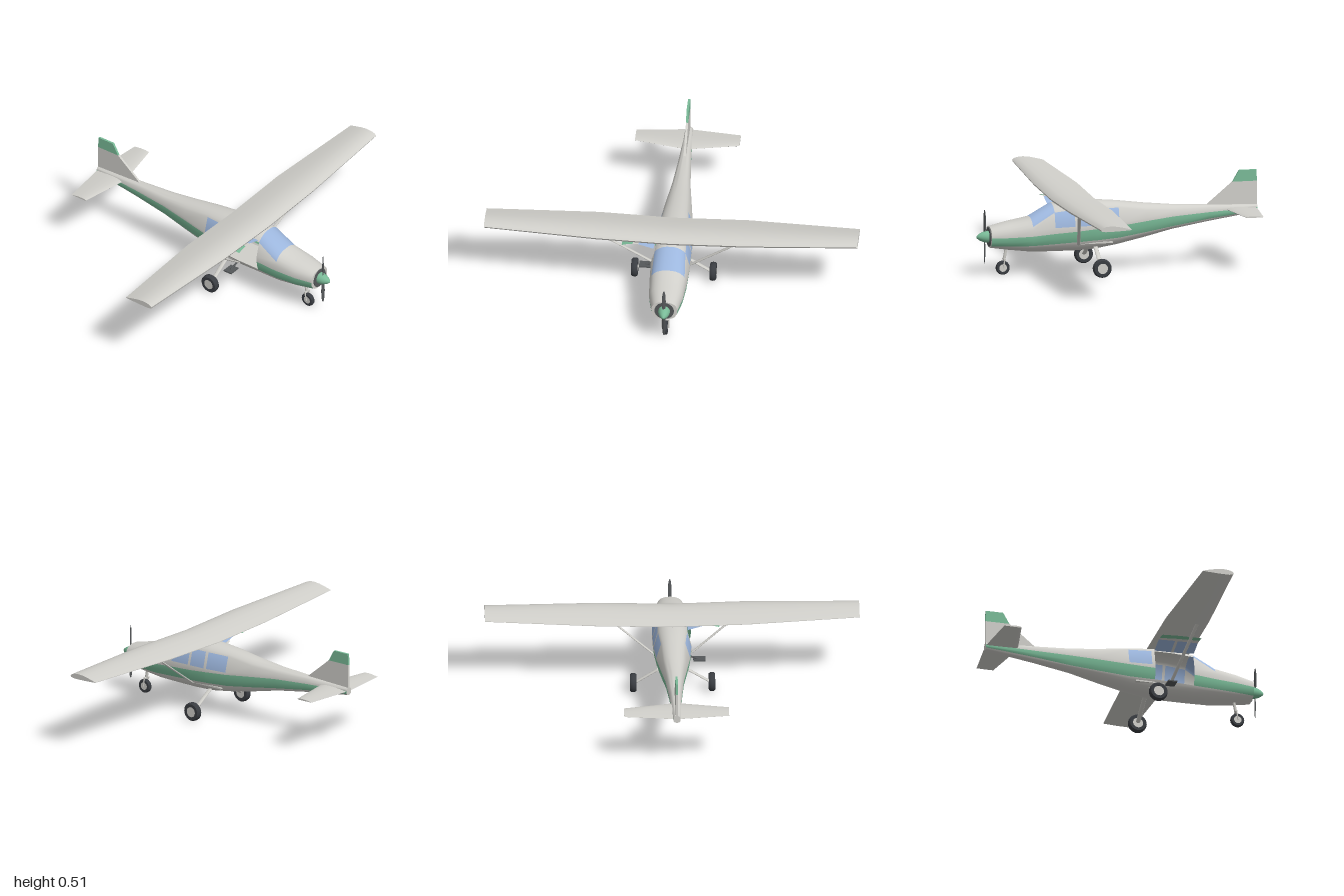
import * as THREE from 'three';
import { toCreasedNormals } from 'three/addons/utils/BufferGeometryUtils.js';

const mat = (name, color, side = THREE.FrontSide) => {
  const m = new THREE.MeshStandardMaterial({ color, side });
  m.name = name;
  return m;
};

// Skin over a row of closed rings; pick(i, j) gives the material index, or -1 for a hole
function loft(rings, pick = () => 0, caps = true, crease = 0.7) {
  const n = rings[0].length, pos = rings.flat(2), buckets = [[], [], []];
  for (let i = 0; i < rings.length - 1; i++) for (let j = 0; j < n; j++) {
    const k = pick(i, j);
    if (k < 0) continue;
    const a = i * n + j, b = i * n + (j + 1) % n, c = b + n, d = a + n;
    buckets[k].push(a, b, d, b, c, d);
  }
  if (caps) for (const i of [0, rings.length - 1]) {
    const mid = [0, 1, 2].map(k => rings[i].reduce((s, p) => s + p[k], 0) / n);
    const m = pos.length / 3;
    pos.push(...mid);
    for (let j = 0; j < n; j++) {
      const a = i * n + j, b = i * n + (j + 1) % n;
      buckets[0].push(m, ...(i ? [a, b] : [b, a]));
    }
  }
  const g = new THREE.BufferGeometry();
  g.setAttribute('position', new THREE.Float32BufferAttribute(pos, 3));
  g.setIndex(buckets.flat());
  let start = 0;
  buckets.forEach((b, k) => { if (b.length) g.addGroup(start, b.length, k); start += b.length; });
  return toCreasedNormals(g, crease);
}

// Fuselage stations: z, bottom, top, half width, stripe low, stripe high, sill, window top
const STATIONS = [
  [0.70, 0.152, 0.265, 0.070, 0.168, 0.212, 0.225, 0.240],
  [0.60, 0.137, 0.288, 0.090, 0.165, 0.214, 0.235, 0.250],
  [0.48, 0.122, 0.310, 0.100, 0.165, 0.218, 0.250, 0.268],
  [0.36, 0.118, 0.378, 0.105, 0.170, 0.228, 0.260, 0.340],
  [0.25, 0.117, 0.385, 0.105, 0.175, 0.234, 0.262, 0.350],
  [0.235, 0.117, 0.385, 0.105, 0.175, 0.235, 0.262, 0.350],
  [0.145, 0.120, 0.387, 0.102, 0.180, 0.242, 0.262, 0.350],
  [0.128, 0.121, 0.386, 0.101, 0.180, 0.243, 0.262, 0.350],
  [0.004, 0.140, 0.375, 0.090, 0.187, 0.252, 0.264, 0.348],
  [-0.15, 0.172, 0.355, 0.070, 0.207, 0.268, 0.285, 0.325],
  [-0.30, 0.207, 0.340, 0.050, 0.228, 0.282, 0.295, 0.315],
  [-0.50, 0.240, 0.330, 0.034, 0.257, 0.293, 0.305, 0.318],
  [-0.77, 0.279, 0.320, 0.020, 0.288, 0.305, 0.309, 0.314],
];

function bodyRing([z, b, t, w, lo, hi, sill, wt]) {
  const up = f => b + (lo - b) * f, over = f => wt + (t - wt) * f;
  const ys = [b, up(0.04), up(0.15), up(0.4), up(0.7), lo, (lo + hi) / 2, hi, sill, wt,
    over(0.35), over(0.65), over(0.87), over(0.97), t];
  const half = ys.map(y => {
    const s = Math.min(1, Math.abs((2 * y - b - t) / (t - b)));
    return [-w * Math.pow(1 - Math.pow(s, 2.4), 1 / 2.4), y, z];
  });
  return [...half, ...half.slice(1, -1).reverse().map(([x, y]) => [-x, y, z])];
}

const rowOf = j => (j < 14 ? j : 27 - j);
const inDoor = (i, j) => i >= 3 && i <= 5 && j >= 5 && j <= 8;
function skin(i, j) {
  const r = rowOf(j);
  if (r === 5 || r === 6) return 1;                            // stripe
  if (r === 8 && [3, 5, 7].includes(i)) return 2;              // side windows
  return r >= 9 && i === 2 ? 2 : 0;                            // windscreen
}

// Aerofoil from trailing edge over the top to the nose and back: chord fraction, height fraction
const FOIL = [[1, 0.25], [0.8, 0.55], [0.55, 0.88], [0.35, 1], [0.18, 0.93], [0.06, 0.72],
  [0, 0.42], [0.03, 0.12], [0.15, 0], [0.5, 0.03], [0.85, 0.12], [1, 0.17]];
const foilRing = ([x, front, back, y, h]) =>
  FOIL.map(([u, v]) => [x, y + v * h, front + (back - front) * u]);

export function createModel() {
  const group = new THREE.Group();
  group.name = 'lightAircraft';
  const body = mat('bodyGrey', 0xd0cfca), shell = mat('shellGrey', 0xd0cfca, THREE.DoubleSide);
  const green = mat('stripeGreen', 0x7abb98, THREE.DoubleSide);
  const glass = mat('windowBlue', 0x9db7de, THREE.DoubleSide);
  const dark = mat('darkGrey', 0x55585a), rubber = mat('tyreBlack', 0x3a3d42);

  const add = (name, geo, m, parent = group) => {
    const mesh = new THREE.Mesh(geo, m);
    mesh.name = name;
    parent.add(mesh);
    return mesh;
  };
  // Oval rod between two points, wide along its local x
  const rod = (name, a, b, r, m = body, flat = 1) => {
    const p = new THREE.Vector3(...a), q = new THREE.Vector3(...b), d = q.clone().sub(p);
    const mesh = add(name, new THREE.CylinderGeometry(r, r, d.length(), 10), m);
    const y = d.clone().normalize();
    const x = new THREE.Vector3().crossVectors(y, new THREE.Vector3(0, 0, 1)).normalize();
    const z = new THREE.Vector3().crossVectors(x, y);
    mesh.quaternion.setFromRotationMatrix(new THREE.Matrix4().makeBasis(x, y, z));
    mesh.scale.x = flat;
    mesh.position.copy(p.add(q).multiplyScalar(0.5));
  };

  // Fuselage with an open doorway on its right side
  const rings = STATIONS.map(bodyRing), skins = [shell, green, glass];
  add('fuselage', loft(rings, (i, j) => (inDoor(i, j) ? -1 : skin(i, j))), skins);
  const floor = add('cabinFloor', new THREE.BoxGeometry(0.17, 0.008, 0.4), body);
  floor.position.set(0, 0.165, 0.24);

  // Door swung up under the wing
  const hinge = rings[4][9];
  const door = add('openDoor', loft(rings, (i, j) => (inDoor(i, j) ? skin(i, j) : -1), false)
    .translate(-hinge[0], -hinge[1], 0), skins);
  door.position.set(hinge[0], hinge[1] + 0.005, 0);
  door.rotation.z = -1.6;

  // Wing and tailplane
  add('wing', loft([[-1, 0.33, 0.16, 0.406, 0.03], [-0.4, 0.36, 0.12, 0.39, 0.042],
    [0, 0.36, 0.12, 0.379, 0.043], [0.4, 0.36, 0.12, 0.39, 0.042],
    [1, 0.33, 0.16, 0.406, 0.03]].map(foilRing)), body);
  add('tailplane', loft([[-0.28, -0.645, -0.74, 0.3, 0.009], [0, -0.59, -0.77, 0.298, 0.014],
    [0.28, -0.645, -0.74, 0.3, 0.009]].map(foilRing)), body);

  // Fin with a coloured tip
  const finPart = (name, pts, m) => {
    const shape = new THREE.Shape(pts.map(([z, y]) => new THREE.Vector2(-z, y)));
    const geo = new THREE.ExtrudeGeometry(shape, { depth: 0.012, bevelEnabled: false });
    add(name, geo.translate(0, 0, -0.006).rotateY(Math.PI / 2), m);
  };
  finPart('fin', [[-0.49, 0.325], [-0.77, 0.3], [-0.77, 0.447], [-0.637, 0.447]], body);
  finPart('finTip', [[-0.637, 0.447], [-0.77, 0.447], [-0.767, 0.508], [-0.672, 0.508]], green);

  // Cowl opening, spinner and propeller
  const cowl = add('cowlIntake', new THREE.CylinderGeometry(0.052, 0.052, 0.006, 28), dark);
  cowl.rotation.x = Math.PI / 2;
  cowl.position.set(0, 0.209, 0.701);
  const profile = [[0.032, 0], [0.031, 0.018], [0.026, 0.036], [0.017, 0.054], [0.007, 0.066], [0, 0.069]];
  const spinner = add('spinner', new THREE.LatheGeometry(
    profile.map(p => new THREE.Vector2(...p)), 24), green);
  spinner.rotation.x = Math.PI / 2;
  spinner.position.set(0, 0.21, 0.701);
  for (const s of [1, -1]) {
    const blade = add('propellerBlade', new THREE.SphereGeometry(1, 14, 10), dark);
    blade.scale.set(0.011, 0.072, 0.0035);
    blade.position.set(0, 0.21 + s * 0.076, 0.724);
    blade.rotation.y = s * 0.4;
  }

  // Wheels: rounded tyre with a pale hub
  const wheel = (name, x, y, z, r, w) => {
    const g = new THREE.Group();
    g.name = name;
    g.position.set(x, y, z);
    g.rotation.z = Math.PI / 2;
    group.add(g);
    const h = w / 2, tyre = [[0.55, -h], [0.86, -h], [0.97, -h * 0.65], [1, 0],
      [0.97, h * 0.65], [0.86, h], [0.55, h], [0.55, -h]];
    const geo = new THREE.LatheGeometry(tyre.map(([k, v]) => new THREE.Vector2(k * r, v)), 28);
    add('tyre', toCreasedNormals(geo, 0.7), rubber, g);
    add('hub', new THREE.CylinderGeometry(r * 0.56, r * 0.56, w * 0.92, 24), body, g);
  };
  wheel('noseWheel', 0, 0.038, 0.625, 0.038, 0.024);
  for (const s of [1, -1]) {
    wheel('mainWheel', s * 0.21, 0.051, 0.13, 0.051, 0.034);
    rod('mainLeg', [s * 0.2, 0.052, 0.13], [s * 0.06, 0.14, 0.13], 0.012, body, 0.45);
    rod('wingStrut', [s * 0.385, 0.393, 0.297], [s * 0.09, 0.162, 0.23], 0.009, body, 0.5);
    rod('noseFork', [s * 0.017, 0.038, 0.625], [s * 0.017, 0.085, 0.617], 0.004);
  }
  rod('forkBridge', [-0.019, 0.085, 0.617], [0.019, 0.085, 0.617], 0.006);
  rod('noseLeg', [0, 0.085, 0.617], [0, 0.16, 0.603], 0.008);

  // Boarding step below the door
  const step = add('boardingStep', new THREE.BoxGeometry(0.065, 0.007, 0.05), dark);
  step.position.set(-0.145, 0.142, 0.22);
  rod('stepArm', [-0.07, 0.165, 0.22], [-0.15, 0.142, 0.22], 0.005, dark);

  return group;
}
